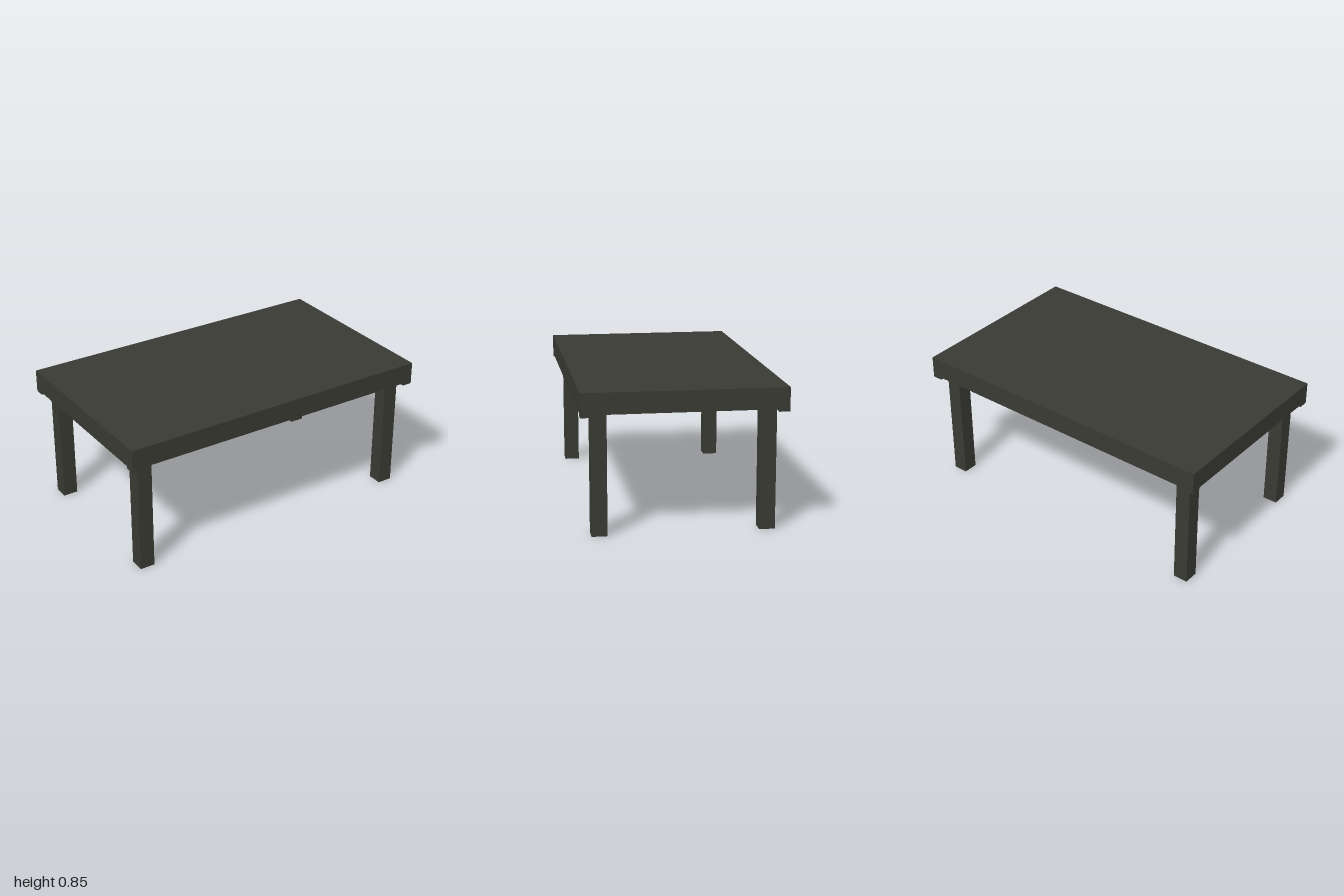
import * as THREE from 'three';

const W = 1, D = 0.593;            // half width and half depth of the top
const TOP = 0.845, UNDER = 0.755;  // tabletop surfaces
const RIM = 0.72, DROP = 0.705;    // rim underside and corner block underside
const EDGE = 0.062;                // rim thickness

export function createModel() {
  const table = new THREE.Group();
  table.name = 'table';
  const darkWood = new THREE.MeshStandardMaterial({ color: 0x3a3a34 });
  darkWood.name = 'darkWood';

  // Box given by its minimum and maximum corners
  const addBox = (name, x0, x1, y0, y1, z0, z1) => {
    const mesh = new THREE.Mesh(new THREE.BoxGeometry(x1 - x0, y1 - y0, z1 - z0), darkWood);
    mesh.position.set((x0 + x1) / 2, (y0 + y1) / 2, (z0 + z1) / 2);
    mesh.name = name;
    table.add(mesh);
    return mesh;
  };

  // Tabletop slab
  addBox('tabletop', -W, W, UNDER, TOP, -D, D);

  // Rim hanging below the slab, open in the middle
  const outline = new THREE.Shape([
    new THREE.Vector2(-W, -D), new THREE.Vector2(W, -D),
    new THREE.Vector2(W, D), new THREE.Vector2(-W, D),
  ]);
  const w = W - EDGE, d = D - EDGE;
  outline.holes.push(new THREE.Path([
    new THREE.Vector2(-w, -d), new THREE.Vector2(-w, d),
    new THREE.Vector2(w, d), new THREE.Vector2(w, -d),
  ]));
  const rimGeometry = new THREE.ExtrudeGeometry(outline, { depth: UNDER - RIM, bevelEnabled: false });
  rimGeometry.rotateX(-Math.PI / 2).translate(0, RIM, 0);
  const rim = new THREE.Mesh(rimGeometry, darkWood);
  rim.name = 'rim';
  table.add(rim);

  // Legs and the small blocks under the rim corners
  for (const sx of [-1, 1]) {
    for (const sz of [-1, 1]) {
      const side = (sz > 0 ? 'front' : 'back') + (sx > 0 ? 'Left' : 'Right');
      const leg = addBox(side + 'Leg', -0.046, 0.046, 0, UNDER, -0.046, 0.046);
      leg.position.x = sx * 0.891;
      leg.position.z = sz * 0.486;
      const block = addBox(side + 'CornerBlock', -EDGE / 2, EDGE / 2, DROP, RIM, -EDGE / 2, EDGE / 2);
      block.position.x = sx * (W - EDGE / 2);
      block.position.z = sz * (D - EDGE / 2);
    }
  }
  return table;
}
